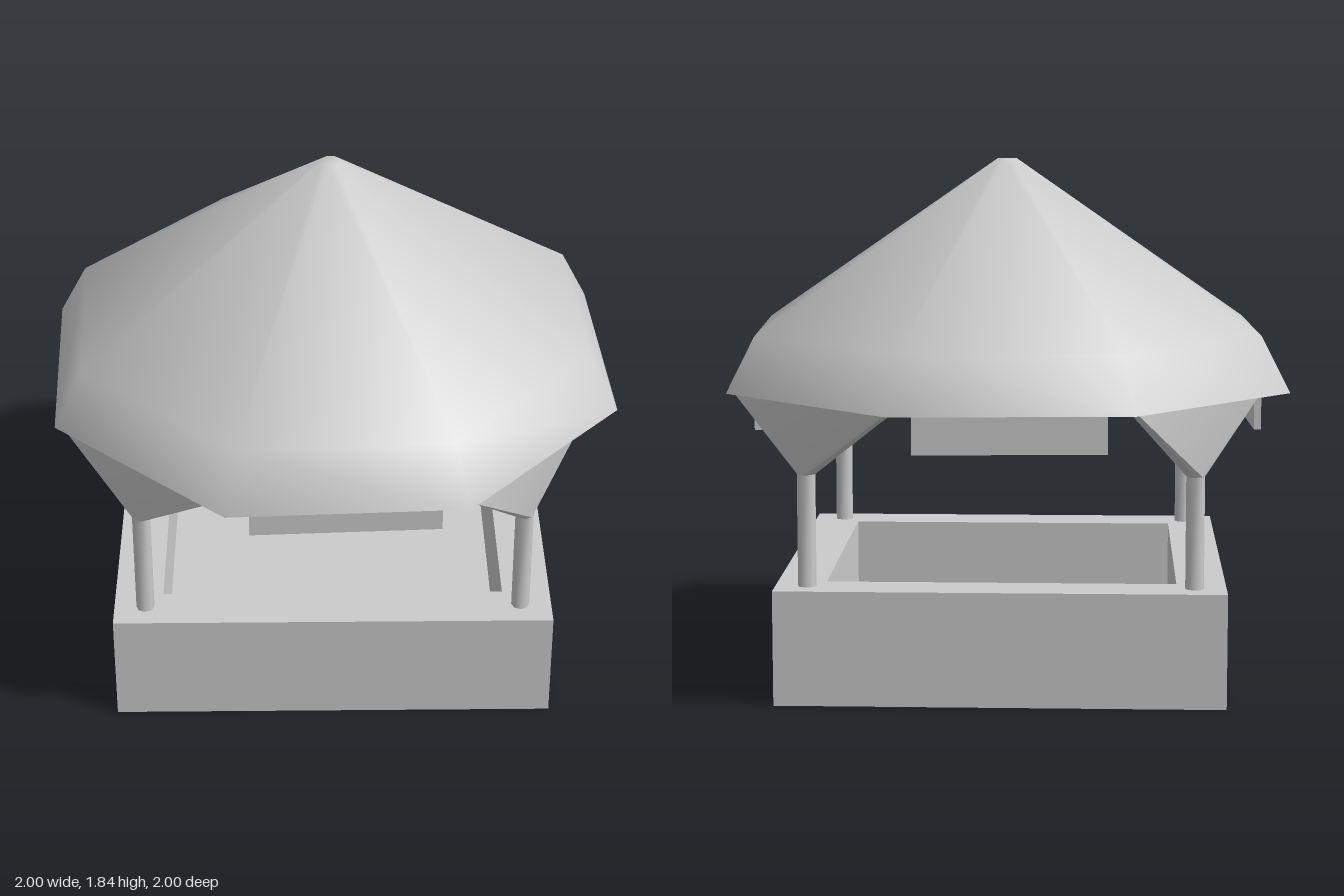
import * as THREE from 'three';
import { toCreasedNormals } from 'three/addons/utils/BufferGeometryUtils.js';
import { ConvexGeometry } from 'three/addons/geometries/ConvexGeometry.js';

const material = new THREE.MeshStandardMaterial({ color: 0xcccccc });

function part(name, geometry, crease = 0.9) {
  const mesh = new THREE.Mesh(toCreasedNormals(geometry, crease), material);
  mesh.name = name;
  return mesh;
}

function rectangle(target, x, z) {
  target.moveTo(-x, -z);
  target.lineTo(x, -z);
  target.lineTo(x, z);
  target.lineTo(-x, z);
  target.closePath();
  return target;
}

export function createModel() {
  const model = new THREE.Group();
  model.name = 'kiosk';

  const eaveY = 1.04, wallY = 0.4, postTop = 0.79, postRadius = 0.032;
  const twist = THREE.MathUtils.degToRad(2.6); // roof sits slightly turned on the base

  // Low counter wall around an open interior
  const wallShape = rectangle(new THREE.Shape(), 0.775, 0.733);
  wallShape.holes.push(rectangle(new THREE.Path(), 0.605, 0.563));
  const wallGeometry = new THREE.ExtrudeGeometry(wallShape, { depth: wallY, bevelEnabled: false });
  wallGeometry.rotateX(-Math.PI / 2);
  model.add(part('counterWall', wallGeometry));

  // Floor inside the wall
  const floor = part('floor', new THREE.BoxGeometry(1.21, 0.05, 1.126));
  floor.position.y = 0.025;
  model.add(floor);

  // Eight-sided roof: flat underside, steep skirt, cone and blunt tip
  const profile = [[0, eaveY], [1.065, eaveY], [0.96, 1.235], [0.037, 1.84], [0, 1.84]]
    .map(([r, y]) => new THREE.Vector2(r, y));
  model.add(part('roof', new THREE.LatheGeometry(profile, 8, Math.PI / 8 + twist)));

  for (let k = 0; k < 4; k++) {
    const turn = k * Math.PI / 2;
    const postX = 0.665 * (k < 2 ? 1 : -1);
    const postZ = 0.635 * (k === 0 || k === 3 ? 1 : -1);

    // Corner post
    const post = part('post', new THREE.CylinderGeometry(postRadius, postRadius, postTop - wallY + 0.03, 8));
    post.position.set(postX, (postTop + wallY) / 2, postZ);
    model.add(post);

    // Bracket spreading from the post head to two corners of the roof
    const points = [];
    for (const [x, z] of [[0.9, 0.36], [0.465, 0.93], [0.87, 0.34], [0.44, 0.9]]) {
      points.push(new THREE.Vector3(x, eaveY, z).applyAxisAngle(new THREE.Vector3(0, 1, 0), turn));
    }
    for (let i = 0; i < 8; i++) {
      const a = i * Math.PI / 4;
      points.push(new THREE.Vector3(postX + postRadius * Math.sin(a), postTop, postZ + postRadius * Math.cos(a)));
    }
    model.add(part('bracket', new ConvexGeometry(points), 0.5));

    // Hanging panel below each side of the roof
    const panelGeometry = new THREE.BoxGeometry(0.65, 0.15, 0.025);
    panelGeometry.translate(0, 0.975, 0.88);
    panelGeometry.rotateY(turn + twist);
    model.add(part('hangingPanel', panelGeometry));
  }

  return model;
}
